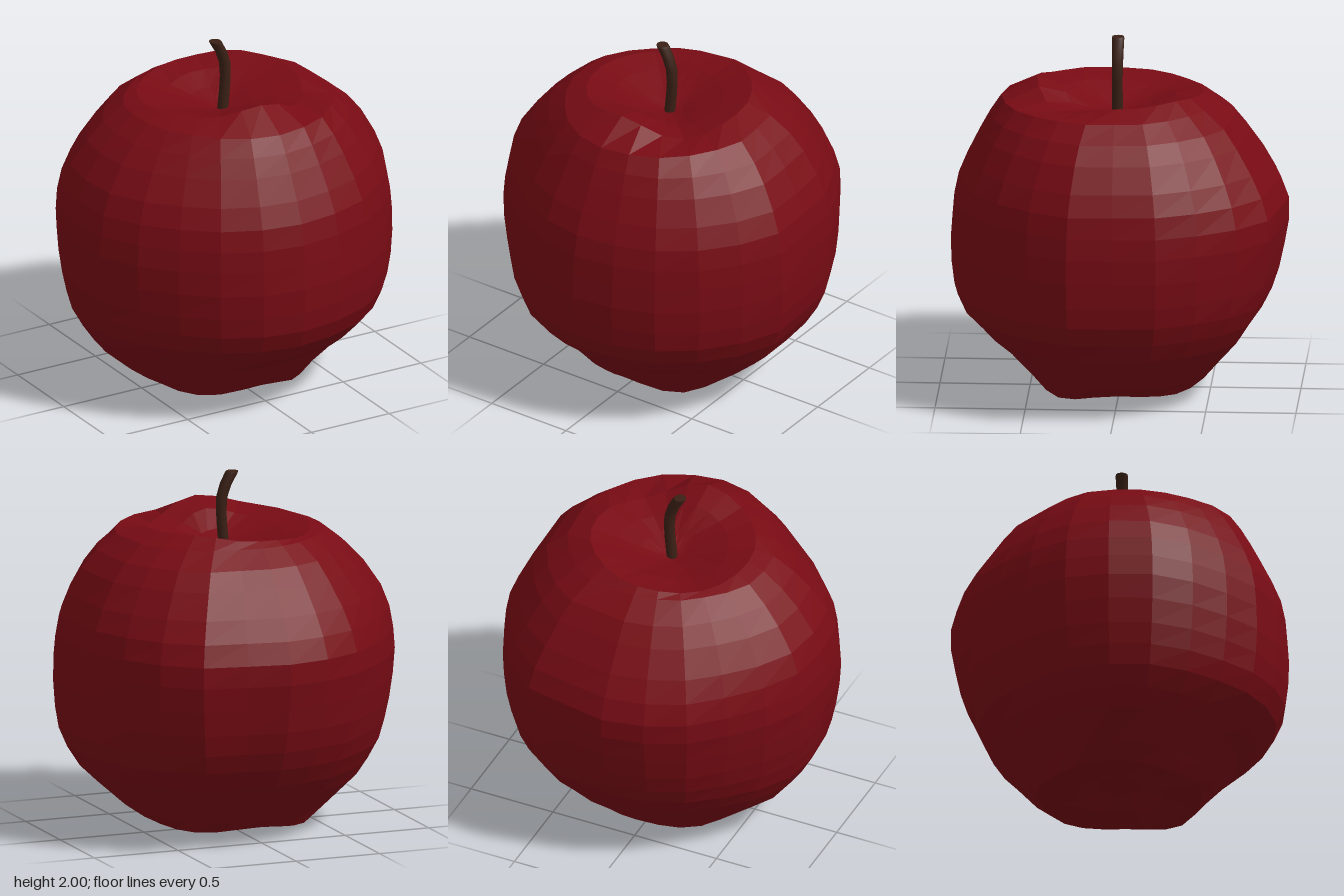
import * as THREE from 'three';

const SIDES = 24;

// Skin stitched between closed rings of points, listed from bottom to top
function loft(rings) {
  const n = rings[0].length, index = [];
  for (let i = 0; i < rings.length - 1; i++) {
    for (let j = 0; j < n; j++) {
      const k = (j + 1) % n;
      const a = i * n + j, b = i * n + k, c = a + n, d = b + n;
      index.push(a, c, b, b, c, d);
    }
  }
  const geometry = new THREE.BufferGeometry();
  geometry.setAttribute('position', new THREE.Float32BufferAttribute(rings.flat(2), 3));
  geometry.setIndex(index);
  geometry.computeVertexNormals();
  return geometry;
}

// Ring of n points; pointAt(angle, j) gives [radius, y]
function ring(n, pointAt, cx = 0, cz = 0) {
  return Array.from({ length: n }, (_, j) => {
    const angle = (j / n) * Math.PI * 2;
    const [r, y] = pointAt(angle, j);
    return [cx + r * Math.cos(angle), y, cz + r * Math.sin(angle)];
  });
}

// Eased blend of values spaced evenly round the axis, from +x towards +z
function around(values, angle) {
  const n = values.length;
  const q = (angle / (Math.PI * 2)) * n, i = Math.floor(q + 1e-6);
  const t = (1 - Math.cos((q - i) * Math.PI)) / 2;
  return values[i % n] * (1 - t) + values[(i + 1) % n] * t;
}

// Uneven outline seen from above, one radius per side
const OUTLINE = [
  0.93, 0.97, 0.955, 0.947, 0.944, 0.93, 0.93, 0.92, 0.91, 0.9, 0.918, 0.94,
  0.93, 0.93, 0.9, 0.884, 0.905, 0.915, 0.93, 0.92, 0.972, 0.96, 0.944, 0.948,
];

// Underside with four lobes: [radius, heights every 45 degrees]
const BASE = [
  [0, 0.15],
  [0.12, 0.12],
  [0.24, 0.08, 0.03, 0.08, 0.035, 0.08, 0.06, 0.08, 0.05],
  [0.36, 0.065, 0, 0.07, 0.005, 0.065, 0.03, 0.065, 0.03],
  [0.46, 0.07, 0.02, 0.08, 0.04, 0.065, 0.05, 0.08, 0.05],
];

// Flank: [height, radius at +x, +z, -x, -z]
const FLANK = [
  [0.13, 0.545, 0.53, 0.57, 0.52],
  [0.27, 0.7, 0.65, 0.73, 0.63],
  [0.36, 0.79, 0.76, 0.79, 0.71],
  [0.47, 0.855, 0.87, 0.85, 0.785],
  [0.58, 0.9, 0.92, 0.88, 0.84],
  [0.7, 0.92, 0.935, 0.905, 0.88],
  [0.84, 0.93, 0.94, 0.925, 0.91],
  [0.98, 0.93, 0.93, 0.935, 0.935],
  [1.1, 0.92, 0.92, 0.925, 0.935],
  [1.22, 0.9, 0.895, 0.905, 0.89],
  [1.34, 0.855, 0.845, 0.86, 0.82],
  [1.48, 0.78, 0.775, 0.765, 0.72],
  [1.58, 0.7, 0.72, 0.67, 0.64],
  [1.67, 0.59, 0.66, 0.555, 0.51],
];

// Uneven rim and stem cavity: [radius, heights every 45 degrees]
const CAVITY = [
  [0.46, 1.72, 1.67, 1.775, 1.72, 1.7, 1.68, 1.7, 1.735],
  [0.31, 1.68, 1.65, 1.73, 1.69, 1.67, 1.65, 1.68, 1.69],
  [0.18, 1.64, 1.62, 1.64, 1.64, 1.63, 1.62, 1.63, 1.64],
  [0.08, 1.6],
  [0, 1.58],
];

function appleBody() {
  const dished = ([r, ...heights]) => ring(SIDES, (a) => [r, around(heights, a)]);
  return loft([
    ...BASE.map(dished),
    ...FLANK.map(([y, ...radii]) => ring(SIDES, (a, j) => [around(radii, a) * OUTLINE[j] / 0.93, y])),
    ...CAVITY.map(dished),
  ]);
}

// Curved stem: [centre x, height, radius]; the doubled top ring keeps the cut end sharp
function stemBody() {
  const sections = [
    [0.01, 1.55, 0.031], [0.025, 1.7, 0.03], [0.03, 1.78, 0.03], [0.026, 1.86, 0.032],
    [0.003, 1.93, 0.034], [-0.03, 1.99, 0.036], [-0.036, 2, 0.034], [-0.036, 2, 0.034], [-0.036, 2, 0],
  ];
  return loft(sections.map(([x, y, r]) => ring(10, () => [r, y], x, 0.015)));
}

export function createModel() {
  const group = new THREE.Group();
  group.name = 'apple';

  const fruit = new THREE.Mesh(
    appleBody(),
    new THREE.MeshStandardMaterial({ color: 0x780b14, flatShading: true }),
  );
  fruit.name = 'fruit';

  const stem = new THREE.Mesh(stemBody(), new THREE.MeshStandardMaterial({ color: 0x3a2015 }));
  stem.name = 'stem';

  group.add(fruit, stem);
  return group;
}
